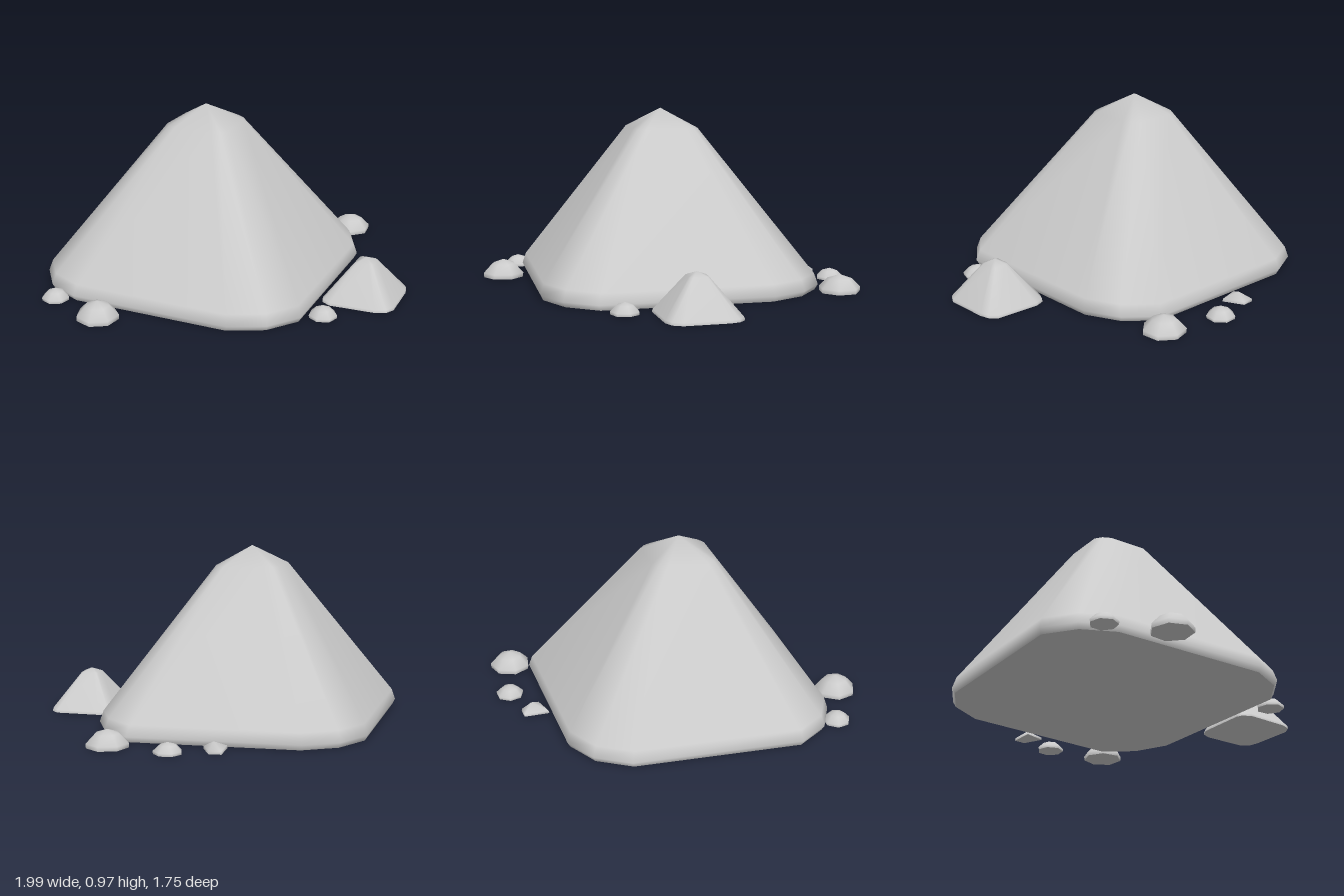
import * as THREE from 'three';

const material = new THREE.MeshStandardMaterial({ color: 0xcccccc });

// Rock: an outline [x, z] (clockwise from above) scaled towards the apex at each ring [y, scale],
// closed by the apex above and a flat base below.
function rock(name, outline, rings, [ax, ay, az]) {
  const n = outline.length;
  const pos = [];
  const index = [];
  const addRing = (y, s) => {
    for (const [x, z] of outline) pos.push(ax + (x - ax) * s, y, az + (z - az) * s);
  };
  for (const [y, s] of rings) addRing(y, s);
  const apex = rings.length * n;
  pos.push(ax, ay, az);
  // separate base vertices keep the bottom edge sharp
  addRing(rings[0][0], rings[0][1]);
  const centre = apex + 1 + n;
  pos.push(ax, rings[0][0], az);

  for (let j = 0; j < n; j++) {
    const k = (j + 1) % n;
    for (let i = 0; i < rings.length - 1; i++) {
      const a = i * n + j, b = i * n + k;
      index.push(b, a, a + n, b, a + n, b + n);
    }
    const top = (rings.length - 1) * n;
    index.push(top + k, top + j, apex);
    index.push(centre, apex + 1 + j, apex + 1 + k);
  }
  const geometry = new THREE.BufferGeometry();
  geometry.setAttribute('position', new THREE.Float32BufferAttribute(pos, 3));
  geometry.setIndex(index);
  geometry.computeVertexNormals();
  const mesh = new THREE.Mesh(geometry, material);
  mesh.name = name;
  return mesh;
}

// Seven-sided low dome
function pebble(x, z, r, h, turn) {
  const outline = Array.from({ length: 7 }, (_, i) => {
    const t = turn + (i / 7) * Math.PI * 2;
    return [x + r * Math.cos(t), z + r * Math.sin(t)];
  });
  return rock('pebble', outline, [[0, 0.98], [h * 0.25, 1], [h * 0.76, 0.58]], [x, h, z]);
}

export function createModel() {
  const group = new THREE.Group();
  group.name = 'rockPile';

  // Large pyramid-shaped boulder with bevelled corners
  group.add(rock('boulder', [
    [-0.25, -0.88], [-0.04, -0.87], [0.77, -0.42], [0.84, -0.23], [0.82, -0.02], [0.34, 0.79],
    [0.15, 0.87], [-0.06, 0.85], [-0.83, 0.37], [-0.94, 0.2], [-0.955, 0], [-0.44, -0.78],
  ], [[0, 0.98], [0.03, 1], [0.09, 0.975], [0.865, 0.24]], [-0.06, 0.97, -0.02]));

  // Small boulder of the same kind
  group.add(rock('smallBoulder', [
    [0.66, 0.28], [0.71, 0.25], [0.77, 0.26], [0.98, 0.39], [0.995, 0.44], [0.98, 0.49],
    [0.86, 0.7], [0.81, 0.73], [0.75, 0.72], [0.53, 0.6], [0.505, 0.55], [0.51, 0.52],
  ], [[0, 1], [0.015, 0.99], [0.207, 0.26]], [0.75, 0.23, 0.5]));

  // Pebbles around the foot: x, z, radius, height, turn
  for (const p of [
    [0.88, -0.47, 0.115, 0.095, 0],
    [-0.71, 0.6, 0.115, 0.1, 0.23],
    [0.62, -0.7, 0.077, 0.06, -1.57],
    [-0.925, 0.33, 0.075, 0.062, -1.5],
    [0.47, 0.73, 0.077, 0.062, -1.4],
  ]) group.add(pebble(...p));

  // Broken wedge-shaped stone
  group.add(rock('stoneChip', [[0.37, -0.81], [0.43, -0.78], [0.42, -0.66], [0.3, -0.69]],
    [[0, 1], [0.015, 0.97]], [0.39, 0.055, -0.74]));

  return group;
}
